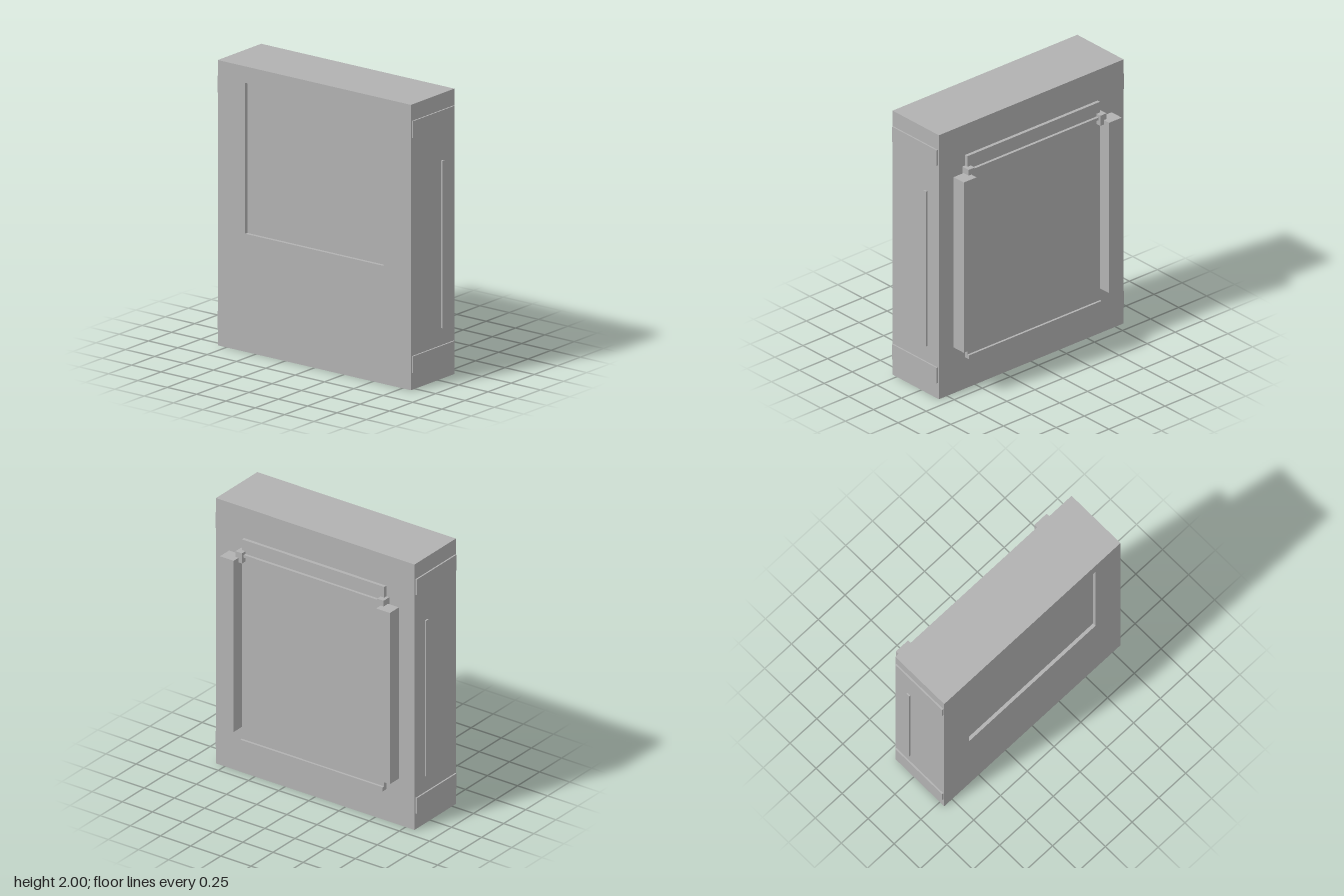
import * as THREE from 'three';

const grey = new THREE.MeshStandardMaterial({ color: 0xb2b2b2 });
grey.name = 'plain grey';

// Box given by its min and max on each axis
function block(name, [x0, x1], [y0, y1], [z0, z1]) {
  const mesh = new THREE.Mesh(new THREE.BoxGeometry(x1 - x0, y1 - y0, z1 - z0), grey);
  mesh.position.set((x0 + x1) / 2, (y0 + y1) / 2, (z0 + z1) / 2);
  mesh.name = name;
  return mesh;
}

// Rectangle corner points for a shape or hole
function rect(x0, x1, y0, y1) {
  return [[x0, y0], [x1, y0], [x1, y1], [x0, y1]].map(([x, y]) => new THREE.Vector2(x, y));
}

export function createModel() {
  const model = new THREE.Group();
  model.name = 'cabinet';

  // Cabinet body with a shallow recessed front panel
  const outline = new THREE.Shape(rect(-0.823, 0.823, 0, 2));
  outline.holes.push(new THREE.Path(rect(-0.59, 0.59, 0.827, 1.885).reverse()));
  const body = new THREE.Mesh(
    new THREE.ExtrudeGeometry(outline, { depth: 0.47, bevelEnabled: false }), grey);
  body.position.z = -0.178;
  body.name = 'body';
  model.add(body);
  model.add(block('frontPanel', [-0.59, 0.59], [0.827, 1.885], [-0.178, 0.268]));

  // Back plate with its upper and lower ledges
  model.add(block('backPlate', [-0.59, 0.59], [0.237, 1.77], [-0.203, -0.176]));
  model.add(block('upperLedge', [-0.58, 0.58], [1.65, 1.67], [-0.224, -0.2]));
  model.add(block('lowerLedge', [-0.59, 0.59], [0.237, 0.268], [-0.22, -0.2]));

  // Parts mirrored on both sides
  for (const [side, s] of [['left', 1], ['right', -1]]) {
    const span = (a, b) => (s > 0 ? [a, b] : [-b, -a]);
    model.add(block(side + 'BackColumn', span(0.59, 0.704), [0.357, 1.647], [-0.295, -0.192]));
    model.add(block(side + 'Bracket', span(0.56, 0.614), [1.613, 1.69], [-0.242, -0.176]));
    model.add(block(side + 'SideRail', span(0.82, 0.834), [0.357, 1.53], [-0.06, -0.033]));
    model.add(block(side + 'LowerStrap', span(0.82, 0.834), [0.12, 0.237], [-0.167, 0.283]));
    model.add(block(side + 'UpperStrap', span(0.82, 0.834), [1.768, 1.885], [-0.167, 0.283]));
  }
  return model;
}
